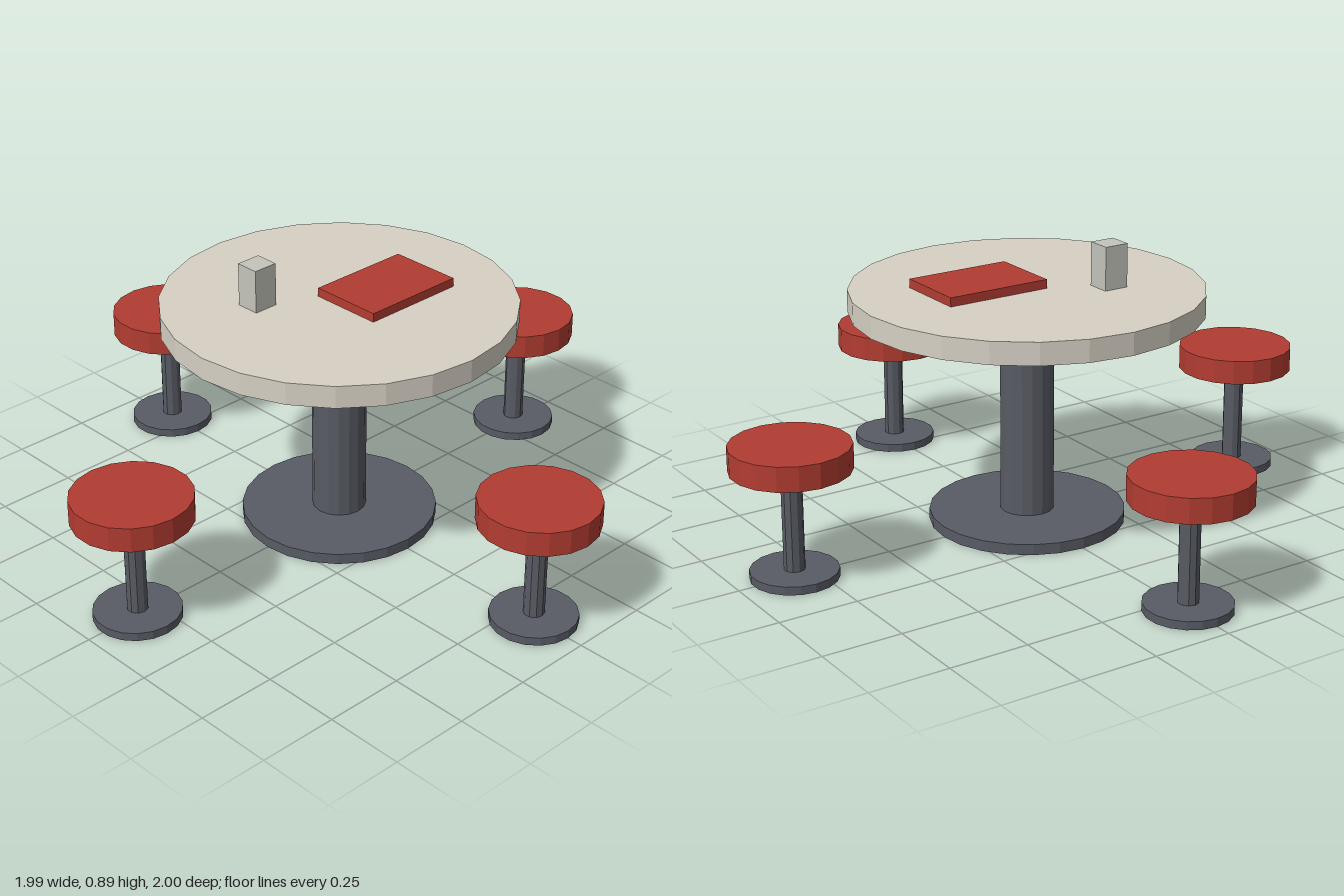
import * as THREE from 'three';

const material = (color) => new THREE.MeshStandardMaterial({ color, flatShading: true });

export function createModel() {
  const model = new THREE.Group();
  model.name = 'tableWithStools';

  const red = material(0xb23c31);
  const stone = material(0xd6d0c4);
  const steel = material(0x585b64);
  const silver = material(0xc4c4bc);

  // Upright cylinder between two heights
  function disc(name, radius, bottom, top, sides, mat, parent) {
    const mesh = new THREE.Mesh(new THREE.CylinderGeometry(radius, radius, top - bottom, sides), mat);
    mesh.position.y = (bottom + top) / 2;
    mesh.name = name;
    parent.add(mesh);
  }

  // Box resting on the table top
  const tableHeight = 0.75;
  function tableItem(name, width, height, depth, x, z, mat) {
    const mesh = new THREE.Mesh(new THREE.BoxGeometry(width, height, depth), mat);
    mesh.position.set(x, tableHeight + height / 2, z);
    mesh.name = name;
    model.add(mesh);
  }

  // Pedestal table
  const table = new THREE.Group();
  table.name = 'table';
  disc('tableBase', 0.305, 0, 0.034, 24, steel, table);
  disc('tablePost', 0.084, 0.034, 0.68, 16, steel, table);
  disc('tableTop', 0.542, 0.68, tableHeight, 24, stone, table);
  model.add(table);

  // Menu and napkin holder
  tableItem('menu', 0.34, 0.028, 0.235, 0.134, 0.064, red);
  tableItem('napkinHolder', 0.08, 0.136, 0.076, -0.204, -0.138, silver);

  // Four stools around the table
  const stoolDistance = 0.818;
  for (const [name, x, z] of [['front', 0, 1], ['left', 1, 0], ['back', 0, -1], ['right', -1, 0]]) {
    const stool = new THREE.Group();
    stool.name = name + 'Stool';
    disc('stoolBase', 0.133, 0, 0.026, 18, steel, stool);
    disc('stoolPost', 0.032, 0.026, 0.338, 10, steel, stool);
    disc('stoolSeat', 0.182, 0.338, 0.415, 18, red, stool);
    stool.position.set(x * stoolDistance, 0, z * stoolDistance);
    model.add(stool);
  }

  return model;
}
